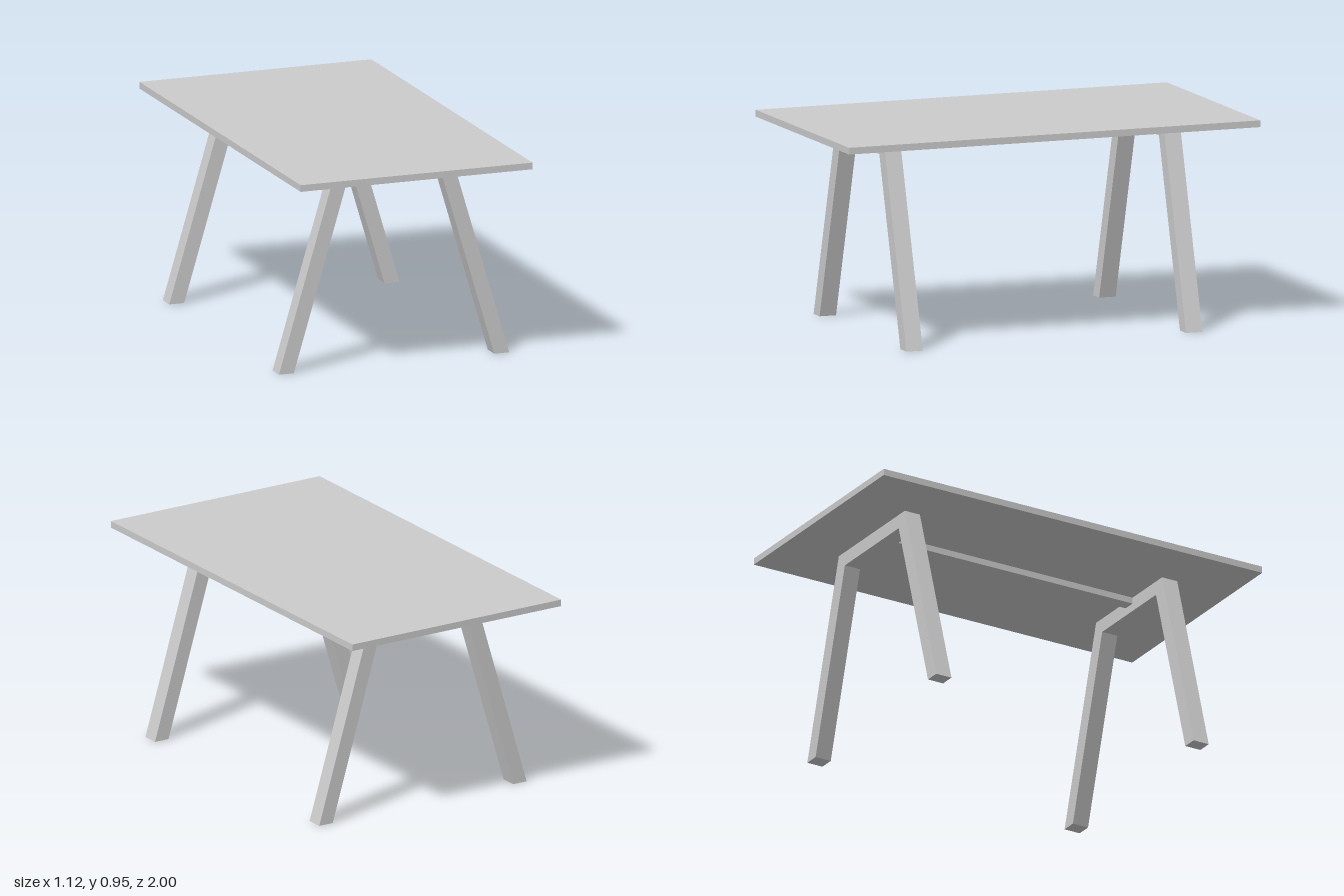
import * as THREE from 'three';

export function createModel() {
  const group = new THREE.Group();
  const material = new THREE.MeshStandardMaterial({ color: 0xcccccc, flatShading: true });

  function add(name, geometry, x, y, z) {
    const mesh = new THREE.Mesh(geometry, material);
    mesh.name = name;
    mesh.position.set(x, y, z);
    group.add(mesh);
  }

  // Tabletop slab
  const topBottom = 0.919, topHeight = 0.95;
  add('tabletop', new THREE.BoxGeometry(1.122, topHeight - topBottom, 2), 0, (topHeight + topBottom) / 2, 0);

  // Splayed leg frame: half outline from the top, mirrored across x
  const half = [[0.285, topBottom], [0.557, 0], [0.485, 0], [0.232, 0.853]];
  const outline = [...half, ...half.map(([x, y]) => [-x, y]).reverse()];
  const shape = new THREE.Shape(outline.map(([x, y]) => new THREE.Vector2(x, y)));
  const depth = 0.08;
  const frame = new THREE.ExtrudeGeometry(shape, { depth, bevelEnabled: false });
  frame.translate(0, 0, -depth / 2);
  add('frontLegFrame', frame, 0, 0, 0.68);
  add('backLegFrame', frame, 0, 0, -0.68);

  // Stretcher beam joining the two frames under the top
  add('centerBeam', new THREE.BoxGeometry(0.06, 0.029, 1.28), 0, 0.9045, 0);

  return group;
}
